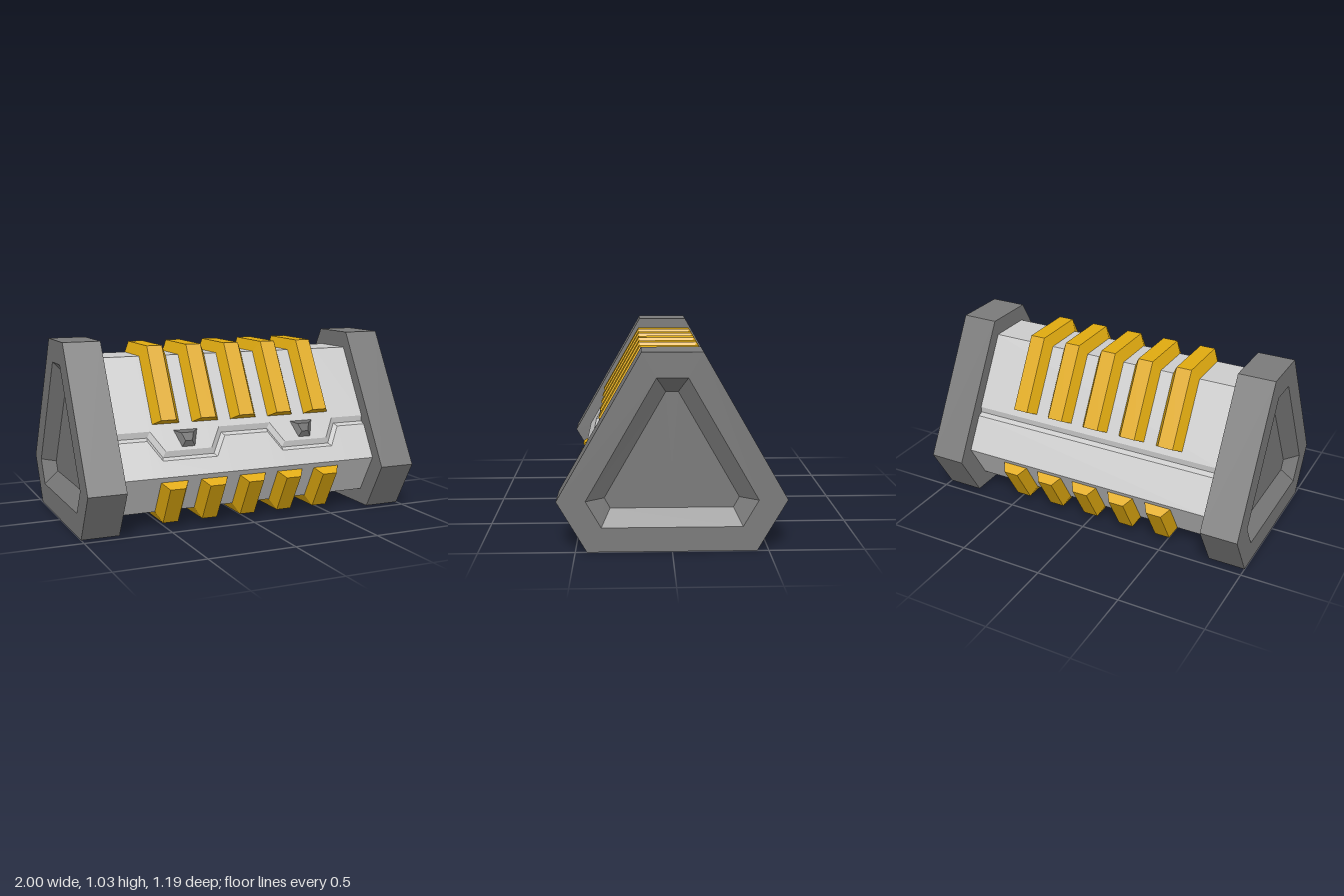
import * as THREE from 'three';

const SLOPE = Math.sqrt(3);
const P = (x, y, z) => [x, y, z];

// Flat-shaded skin stretched over successive rails of equal length
function loft(rails, closed = false) {
  const pos = [];
  for (let r = 0; r < rails.length - 1; r++) {
    const a = rails[r], b = rails[r + 1], n = a.length;
    for (let i = 0; i < (closed ? n : n - 1); i++) {
      const j = (i + 1) % n;
      pos.push(...a[i], ...b[i], ...b[j], ...a[i], ...b[j], ...a[j]);
    }
  }
  const g = new THREE.BufferGeometry();
  g.setAttribute('position', new THREE.Float32BufferAttribute(pos, 3));
  g.computeVertexNormals();
  return g;
}

// Half of the hexagonal barrel; xs and drops shape the groove along it
function barrelHalf(upper, apex, lower) {
  const n = upper.length;
  const planeZ = (y) => 0.13 + (0.94 - y) / SLOPE;
  const groove = (pts, inset) => pts.map(([x, y]) => P(x, y, planeZ(y) - inset));
  const straight = (y, z) => upper.map(([x]) => P(x, y, z));
  const lowStraight = (y, z) => lower.map(([x]) => P(x, y, z));
  return loft([
    straight(0.94, 0), straight(0.94, 0.13),
    groove(upper, 0), groove(apex, 0.023), groove(lower, 0),
    lowStraight(0.31, 0.494), lowStraight(0.09, 0.367), lowStraight(0.09, 0),
  ], n < 2);
}

// Line along the barrel that dips twice, mirrored about the middle
function zigzag(yHigh, yLow, x0, x1, x2, x3) {
  const left = [[-0.79, yHigh], [-x0, yHigh], [-x1, yLow], [-x2, yLow], [-x3, yHigh]];
  return [...left, ...left.map(([x, y]) => [-x, y]).reverse()];
}

// Bevelled rib following base and outer (z, y) paths
function ribGeometry(base, outer) {
  const wide = 0.08, narrow = 0.045;
  const end = ([z, y]) => [-wide, -wide, wide, wide].map((x) => P(x, y, z));
  const stations = base.map(([z, y], i) => {
    const [oz, oy] = outer[i];
    return [P(-wide, y, z), P(-narrow, oy, oz), P(narrow, oy, oz), P(wide, y, z)];
  });
  return loft([end(base[0]), ...stations, end(base[base.length - 1])]);
}

// Symmetric six-sided ring of an end cap
function capRing(x, [a, b, c]) {
  return [P(x, a[1], a[0]), P(x, a[1], -a[0]), P(x, b[1], -b[0]),
    P(x, c[1], -c[0]), P(x, c[1], c[0]), P(x, b[1], b[0])];
}

export function createModel() {
  const root = new THREE.Group();
  root.name = 'ribbedContainer';
  const mat = (name, color) => {
    const m = new THREE.MeshStandardMaterial({ color });
    m.name = name;
    return m;
  };
  const lightGrey = mat('lightGrey', 0xcccccc);
  const darkGrey = mat('darkGrey', 0x7a7a7a);
  const studGrey = mat('studGrey', 0x6c6c6c);
  const gold = mat('gold', 0xe0aa10);
  const add = (name, geometry, material) => {
    const m = new THREE.Mesh(geometry, material);
    m.name = name;
    root.add(m);
    return m;
  };

  // Barrel: zigzag groove in front, straight groove behind
  add('barrelFront', barrelHalf(
    zigzag(0.545, 0.44, 0.575, 0.505, 0.23, 0.16),
    zigzag(0.51, 0.405, 0.59, 0.52, 0.215, 0.145),
    zigzag(0.497, 0.393, 0.6, 0.53, 0.205, 0.135)), lightGrey);
  const line = (y) => [[-0.79, y], [0.79, y]];
  add('barrelBack', barrelHalf(line(0.545), line(0.51), line(0.497)), lightGrey)
    .rotation.y = Math.PI;

  // End caps with a sloped recess
  const outline = [[0.155, 1.035], [0.595, 0.27], [0.44, 0]];
  const opening = [[0.08, 0.905], [0.445, 0.27], [0.365, 0.13]];
  const floor = [[0.032, 0.825], [0.35, 0.27], [0.32, 0.215]];
  const centre = [[0, 0.45], [0, 0.45], [0, 0.45]];
  const cap = loft([
    capRing(0.785, centre), capRing(0.785, outline), capRing(1, outline),
    capRing(1, opening), capRing(0.93, floor), capRing(0.93, centre),
  ], true);
  add('leftCap', cap, darkGrey);
  add('rightCap', cap, darkGrey).rotation.y = Math.PI;

  // Ribs over the top ridge and under the base
  const topRib = ribGeometry(
    [[-0.338, 0.58], [-0.13, 0.94], [0.13, 0.94], [0.338, 0.58]],
    [[-0.391, 0.608], [-0.165, 1], [0.165, 1], [0.391, 0.608]]);
  const lowerRib = ribGeometry(
    [[0.477, 0.28], [0.367, 0.09], [-0.367, 0.09], [-0.477, 0.28]],
    [[0.529, 0.248], [0.402, 0.03], [-0.402, 0.03], [-0.529, 0.248]]);
  for (let i = -2; i <= 2; i++) {
    add('topRib', topRib, gold).position.x = i * 0.237;
    add('lowerRib', lowerRib, gold).position.x = i * 0.237;
  }

  // Small tapered studs sitting in the dips of the groove
  const studRing = (top, bottom, h, z) =>
    [P(-top, h, z), P(top, h, z), P(bottom, -h, z), P(-bottom, -h, z)];
  const stud = loft([
    studRing(0.07, 0.038, 0.05, 0), studRing(0.036, 0.02, 0.024, 0.022),
    studRing(0, 0, 0, 0.022),
  ], true);
  for (const x of [-0.365, 0.365]) {
    const s = add('stud', stud, studGrey);
    s.position.set(x, 0.5, 0.384);
    s.rotation.x = -Math.PI / 6;
  }
  return root;
}
